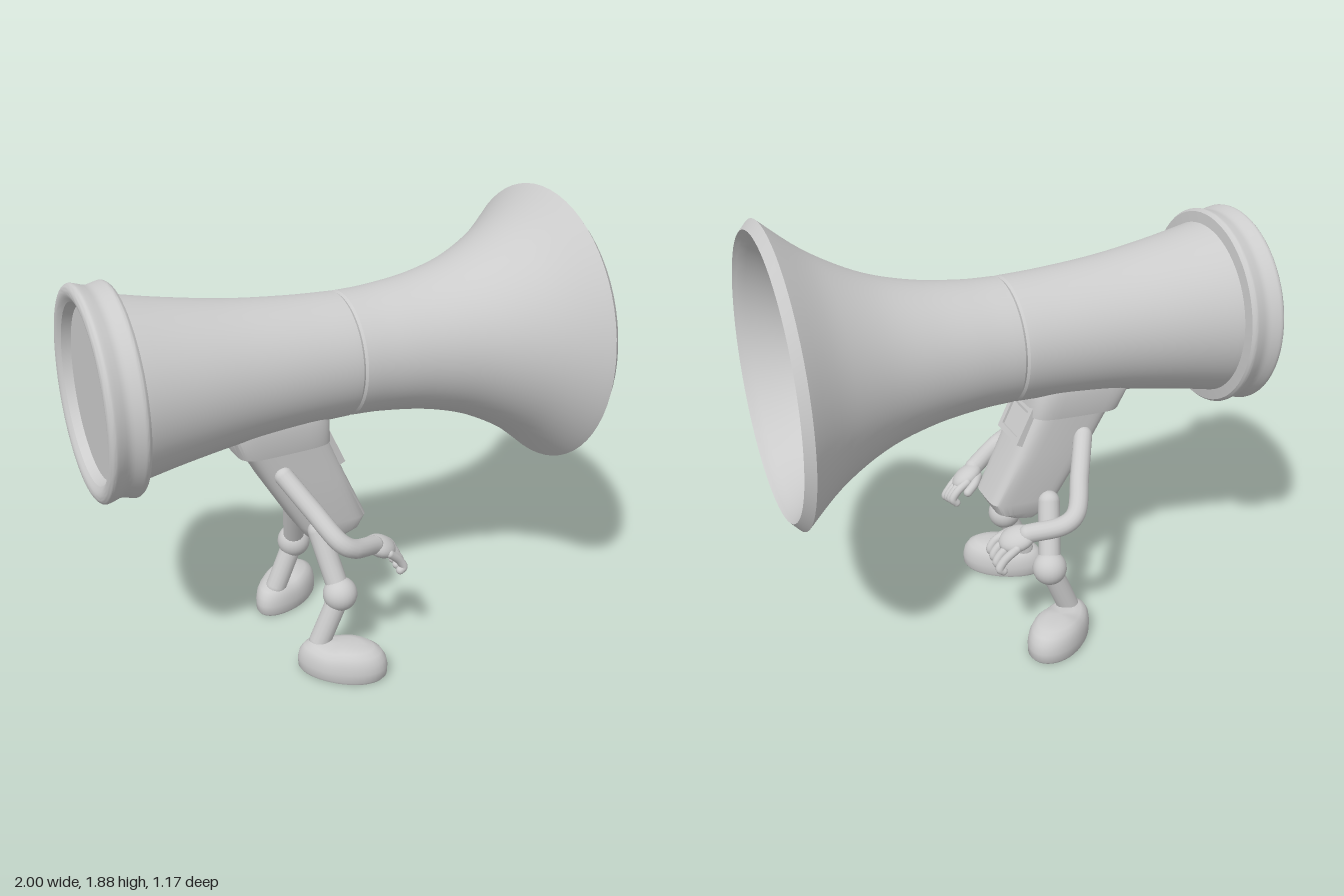
import * as THREE from 'three';
import { toCreasedNormals } from 'three/addons/utils/BufferGeometryUtils.js';

const material = new THREE.MeshStandardMaterial({ color: 0xcccccc });
const V = (x, y, z) => new THREE.Vector3(x, y, z);

function add(parent, name, geometry) {
  const mesh = new THREE.Mesh(geometry, material);
  mesh.name = name;
  parent.add(mesh);
  return mesh;
}

// Smooth run of [axial position, radius] points as lathe points
function run(points, n) {
  return new THREE.SplineCurve(points.map(([x, r]) => new THREE.Vector2(r, x))).getPoints(n);
}

// Tube through points with rounded ends
function limb(parent, name, points, radius) {
  const group = new THREE.Group();
  group.name = name;
  const curve = new THREE.CatmullRomCurve3(points, false, 'centripetal');
  add(group, name + 'Tube', new THREE.TubeGeometry(curve, 8 * points.length, radius, 16));
  for (const p of [points[0], points[points.length - 1]]) {
    add(group, name + 'End', new THREE.SphereGeometry(radius, 16, 12)).position.copy(p);
  }
  parent.add(group);
}

// Loft through rounded-box sections [xBack, yBack, xFront, yFront, halfWidth], bottom to top
function loft(sections, n = 40) {
  const pos = [], index = [];
  const round = (v) => Math.sign(v) * Math.abs(v) ** 0.4;
  for (const [xb, yb, xf, yf, w] of sections) {
    for (let j = 0; j < n; j++) {
      const a = (j / n) * Math.PI * 2, c = round(Math.cos(a));
      pos.push((xb + xf) / 2 + c * (xf - xb) / 2, (yb + yf) / 2 + c * (yf - yb) / 2, round(Math.sin(a)) * w);
    }
  }
  for (let i = 0; i < sections.length - 1; i++) {
    for (let j = 0; j < n; j++) {
      const a = i * n + j, b = i * n + (j + 1) % n;
      index.push(a, a + n, b, b, a + n, b + n);
    }
  }
  const geometry = new THREE.BufferGeometry();
  geometry.setAttribute('position', new THREE.Float32BufferAttribute(pos, 3));
  geometry.setIndex(index);
  return toCreasedNormals(geometry, 0.6);
}

function footGeometry() {
  const profile = [[0, 0], [0.94, 0], [0.99, 0.012], [1, 0.05], [0.96, 0.085], [0.86, 0.113], [0.7, 0.13], [0.45, 0.138], [0, 0.14]]
    .map(([r, y]) => new THREE.Vector2(r, y));
  const geometry = new THREE.LatheGeometry(profile, 40);
  const p = geometry.attributes.position;
  // Long, wider at the toe, with a slight dip at the ankle
  for (let i = 0; i < p.count; i++) {
    const x = p.getX(i), y = p.getY(i), z = p.getZ(i);
    p.setXYZ(i, x * 0.19, y * (1 - 0.08 * Math.exp(-(((x + 0.25) / 0.25) ** 2))), z * 0.107 * (1 + 0.1 * x));
  }
  geometry.computeVertexNormals();
  return toCreasedNormals(geometry, 0.7);
}

export function createModel() {
  const model = new THREE.Group();
  model.name = 'walkingMegaphone';

  // Horn: recessed back disc, end band, waist, bell, inner wall and inner cone
  const profile = [
    ...run([[-0.95, 0], [-0.95, 0.33]], 1),
    ...run([[-0.985, 0.345], [-1, 0.37], [-1, 0.395], [-0.985, 0.412], [-0.96, 0.408], [-0.925, 0.398], [-0.89, 0.405], [-0.865, 0.41], [-0.85, 0.4]], 28),
    ...run([[-0.845, 0.356], [-0.65, 0.318], [-0.4, 0.28], [-0.15, 0.259], [0.04, 0.252]], 20),
    ...run([[0.05, 0.245], [0.06, 0.252]], 1),
    ...run([[0.065, 0.252], [0.2, 0.258], [0.4, 0.285], [0.6, 0.343], [0.8, 0.45], [0.965, 0.585]], 26),
    ...run([[1, 0.548], [0.985, 0.535]], 1),
    ...run([[0.98, 0.53], [0.8, 0.415], [0.6, 0.318], [0.4, 0.264], [0.3, 0.248]], 20),
    ...run([[0.29, 0.238], [0.31, 0.236]], 1),
    ...run([[0.84, 0.145], [0.865, 0.135], [0.872, 0.122], [0.865, 0.11]], 8),
    ...run([[0.85, 0.105], [0.85, 0]], 1),
  ];
  const horn = add(model, 'horn', toCreasedNormals(new THREE.LatheGeometry(profile, 64).rotateZ(-Math.PI / 2), 0.5));
  horn.position.y = 1.29;

  // Leaning torso with a wider collar under the horn
  add(model, 'torso', loft([
    [-0.01, 0.49, 0.01, 0.495, 0.01], [-0.06, 0.485, 0.05, 0.505, 0.085], [-0.13, 0.53, 0.11, 0.535, 0.108],
    [-0.165, 0.58, 0.14, 0.59, 0.116], [-0.3, 0.8, 0.04, 0.8, 0.128], [-0.4, 0.98, -0.04, 0.98, 0.136],
  ]));
  add(model, 'collar', loft([
    [-0.36, 0.97, -0.07, 0.98, 0.12], [-0.425, 0.955, -0.03, 0.97, 0.15], [-0.47, 1.06, -0.04, 1.07, 0.17], [-0.46, 1.12, -0.06, 1.12, 0.16],
  ]));

  // Framed panel on the chest
  const rect = (w, h, S) => new S([[-w, -h], [w, -h], [w, h], [-w, h]].map(([x, y]) => new THREE.Vector2(x, y)));
  const frame = rect(0.1, 0.085, THREE.Shape);
  frame.holes.push(rect(0.075, 0.06, THREE.Path));
  const panel = new THREE.Group();
  panel.name = 'chestPanel';
  add(panel, 'panelFrame', new THREE.ExtrudeGeometry(frame, { depth: 0.04, bevelEnabled: false }).rotateY(Math.PI / 2)).position.x = -0.02;
  add(panel, 'panelFace', new THREE.BoxGeometry(0.03, 0.12, 0.15)).position.x = -0.005;
  panel.position.set(-0.02, 0.925, 0);
  panel.rotation.z = 0.44;
  model.add(panel);

  for (const s of [1, -1]) {
    const side = s > 0 ? 'right' : 'left';
    const P = (x, y, z) => V(x, y, z * s);

    // Arm bent at the elbow, hand resting forward
    limb(model, side + 'Arm', [P(-0.25, 0.86, 0.13), P(-0.18, 0.75, 0.25), P(-0.11, 0.645, 0.365), P(-0.06, 0.61, 0.37), P(0.07, 0.56, 0.3)], 0.039);
    const palm = add(model, side + 'Palm', new THREE.SphereGeometry(1, 20, 14));
    palm.scale.set(0.078, 0.04, 0.062);
    palm.position.copy(P(0.11, 0.535, 0.28));
    palm.rotation.set(s * 0.4, s * 0.3, -0.5);
    for (let i = 0; i < 4; i++) {
      const z = 0.215 + i * 0.034, y = -0.012 * i;
      limb(model, side + 'Finger', [P(0.13, 0.535 + y * 0.5, z + 0.01), P(0.18, 0.505 + y, z), P(0.2, 0.47 + y, z), P(0.185, 0.45 + y * 0.8, z)], 0.0175);
    }
    limb(model, side + 'Thumb', [P(0.07, 0.54, 0.25), P(0.1, 0.53, 0.21), P(0.14, 0.505, 0.19)], 0.019);

    // Leg with ball knee
    limb(model, side + 'Thigh', [P(-0.1, 0.58, 0.13), P(-0.055, 0.33, 0.245)], 0.046);
    add(model, side + 'Knee', new THREE.SphereGeometry(0.072, 24, 18)).position.copy(P(-0.055, 0.33, 0.245));
    limb(model, side + 'Shin', [P(-0.055, 0.33, 0.245), P(-0.145, 0.12, 0.24)], 0.046);

    // Foot turned outward
    const foot = add(model, side + 'Foot', footGeometry());
    foot.position.copy(P(-0.075, 0, 0.313));
    foot.rotation.y = -s * 0.64;
  }
  return model;
}
